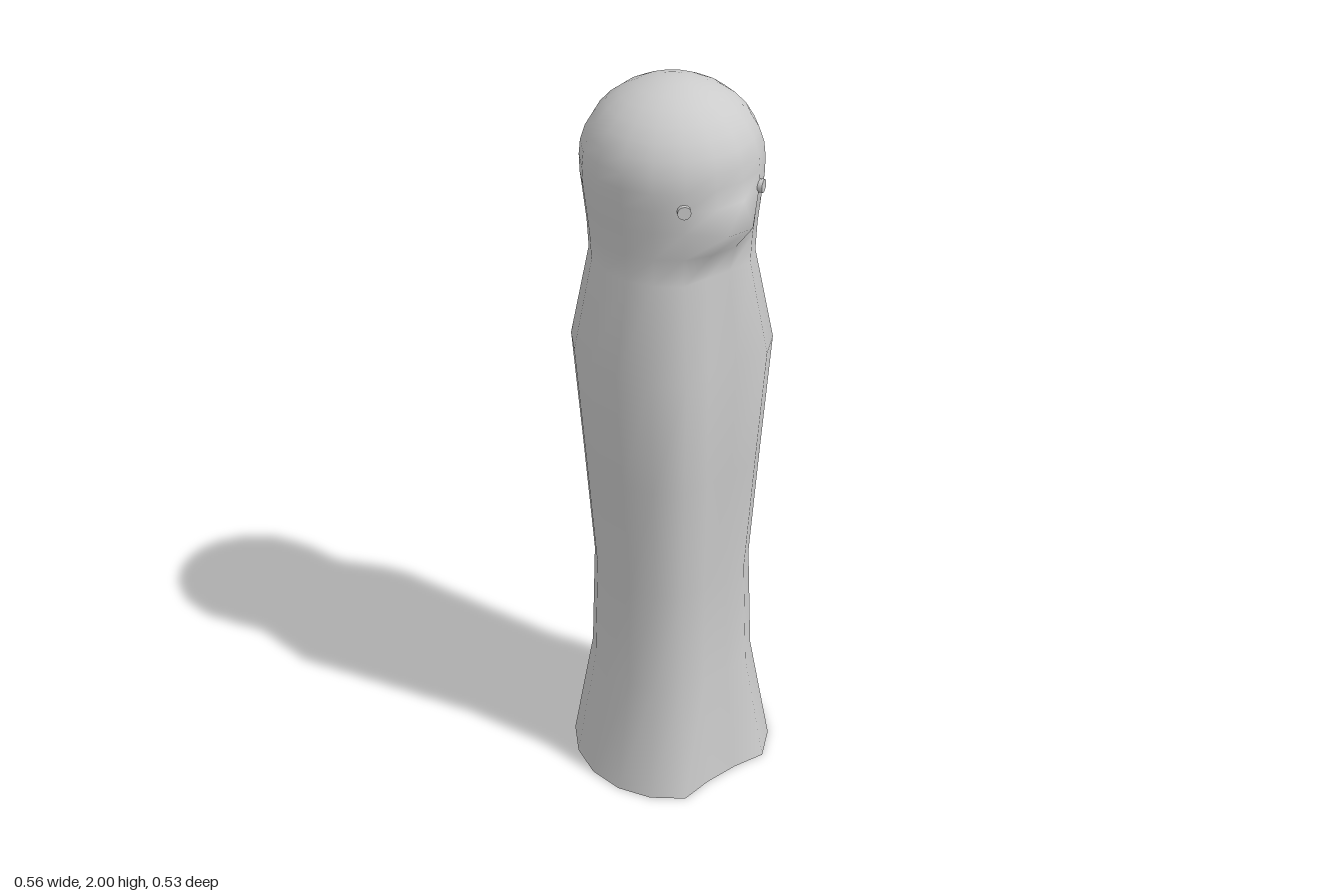
import * as THREE from 'three';

const SIDES = 18, CENTRE_Z = 0.01;
const material = new THREE.MeshStandardMaterial({ color: 0xcccccc });

// Cross-sections: height, radius, z of the two front corners (dent or beak)
const SECTIONS = [
  [0, 0.28, 0.24], [0.34, 0.22, 0.203], [0.66, 0.207, 0.198], [1.0, 0.228, 0.205],
  [1.33, 0.25, 0.208], [1.57, 0.2, 0.185], [1.64, 0.203, 0.205], [1.71, 0.21, 0.262],
  [1.765, 0.216, 0.228], [1.81, 0.217, 0.221],
];
// Domed crown
for (let i = 1; i < 8; i++) {
  const a = (i / 8) * Math.PI / 2, r = 0.217 * Math.cos(a);
  SECTIONS.push([1.81 + 0.19 * Math.sin(a), r, CENTRE_Z + r * 0.985]);
}

// Corners of one cross-section, running from the front towards +x
function ring([y, r, frontZ]) {
  const points = [];
  for (let i = 0; i < SIDES; i++) {
    const a = (i + 0.5) * 2 * Math.PI / SIDES;
    const isFront = i === 0 || i === SIDES - 1;
    points.push(new THREE.Vector3(r * Math.sin(a), y, isFront ? frontZ : CENTRE_Z + r * Math.cos(a)));
  }
  return points;
}

function makeBody() {
  const points = SECTIONS.flatMap(ring), index = [];
  for (let j = 0; j < SECTIONS.length - 1; j++) {
    for (let i = 0; i < SIDES; i++) {
      const k = (i + 1) % SIDES;
      const a = j * SIDES + i, b = j * SIDES + k, c = b + SIDES, d = a + SIDES;
      index.push(a, b, c, a, c, d);
    }
  }
  // Close the crown
  const last = (SECTIONS.length - 1) * SIDES, tip = points.length;
  points.push(new THREE.Vector3(0, 2, CENTRE_Z));
  for (let i = 0; i < SIDES; i++) index.push(last + i, last + (i + 1) % SIDES, tip);
  const geometry = new THREE.BufferGeometry().setFromPoints(points);
  geometry.setIndex(index);
  geometry.computeVertexNormals();
  return geometry;
}

// Flat underside
function makeBase() {
  const points = ring(SECTIONS[0]), index = [];
  points.push(new THREE.Vector3(0, 0, CENTRE_Z));
  for (let i = 0; i < SIDES; i++) index.push((i + 1) % SIDES, i, SIDES);
  const geometry = new THREE.BufferGeometry().setFromPoints(points);
  geometry.setIndex(index);
  geometry.computeVertexNormals();
  return geometry;
}

export function createModel() {
  const group = new THREE.Group();
  const add = (name, geometry) => {
    const mesh = new THREE.Mesh(geometry, material);
    mesh.name = name;
    group.add(mesh);
    return mesh;
  };
  add('bodyAndHead', makeBody());
  add('base', makeBase());

  // Small round eyes, turned outwards
  for (const side of [-1, 1]) {
    const geometry = new THREE.CylinderGeometry(0.016, 0.016, 0.012, 12).rotateX(Math.PI / 2);
    const eye = add(side > 0 ? 'leftEye' : 'rightEye', geometry);
    eye.position.set(side * 0.113, 1.77, 0.199);
    eye.rotation.y = side * 0.55;
  }
  return group;
}
